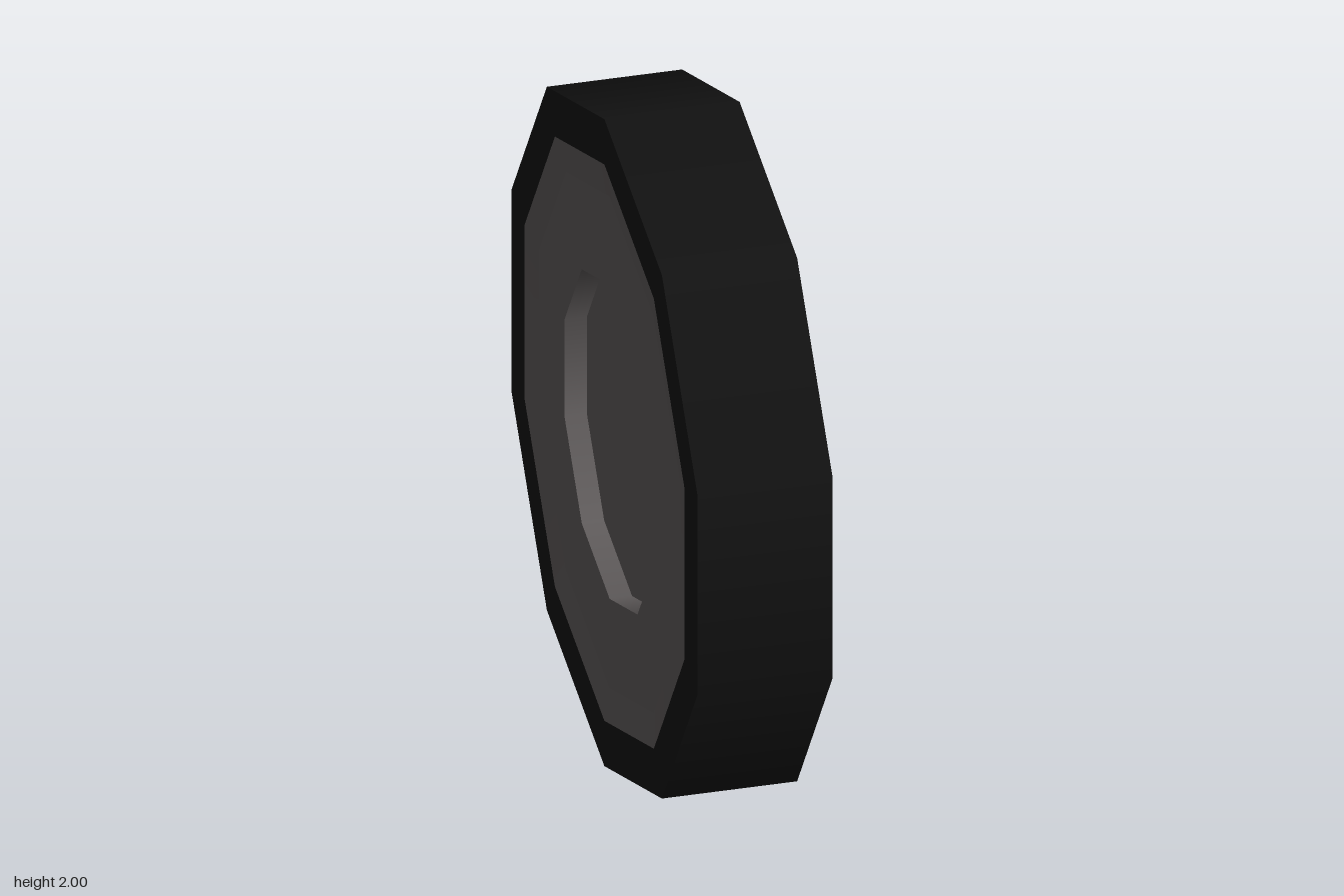
import * as THREE from 'three';

const SIDES = 10;
const HALF_WIDTH = 0.193;

const flat = (name, color) => {
  const m = new THREE.MeshStandardMaterial({ color });
  m.name = name;
  return m;
};

export function createModel() {
  const rubber = flat('black rubber', 0x111111);
  const metal = flat('dark grey metal', 0x5c5858);
  const blue = flat('blue backing', 0x6b8fc4);

  const wheel = new THREE.Group();
  wheel.name = 'wheel';

  // One ring of the wheel, from [radius, x] points, turned about the x axis
  const ring = (name, material, points) => {
    const geometry = new THREE.LatheGeometry(
      points.map(([r, x]) => new THREE.Vector2(r, x)), SIDES, Math.PI / 2);
    geometry.rotateZ(-Math.PI / 2);
    const mesh = new THREE.Mesh(geometry, material);
    mesh.name = name;
    mesh.position.y = 1;
    wheel.add(mesh);
  };

  const face = -HALF_WIDTH;
  const dish = face + 0.015;
  const floor = dish + 0.064;

  // Recessed hub
  ring('hubFloor', metal, [[0, floor], [0.485, floor]]);
  ring('hubWall', metal, [[0.485, floor], [0.485, dish]]);

  // Shallow dished rim around the hub
  ring('rimFace', metal, [[0.485, dish], [0.76, dish]]);
  ring('rimSlope', metal, [[0.76, dish], [0.86, face]]);

  // Tyre side and tread
  ring('tyreSidewall', rubber, [[0.86, face], [1, face]]);
  ring('tyreTread', rubber, [[1, face], [1, HALF_WIDTH]]);

  // Plain backing disc
  ring('backingDisc', blue, [[1, HALF_WIDTH], [0, HALF_WIDTH]]);

  return wheel;
}
